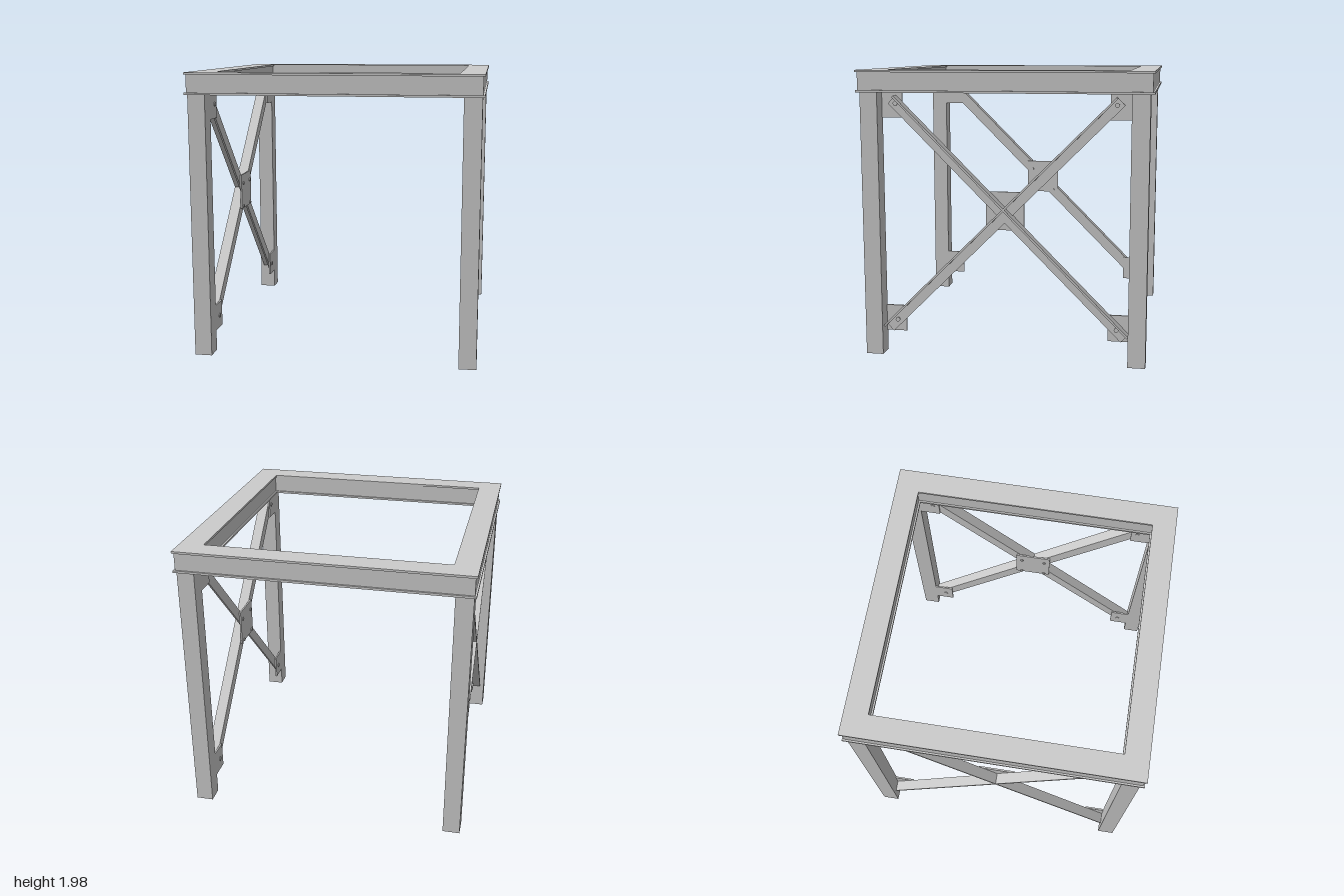
import * as THREE from 'three';

const steel = new THREE.MeshStandardMaterial({ color: 0xcccccc, flatShading: true, side: THREE.DoubleSide });

function addMesh(parent, name, geometry, x = 0, y = 0, z = 0) {
  const mesh = new THREE.Mesh(geometry, steel);
  mesh.name = name;
  mesh.position.set(x, y, z);
  parent.add(mesh);
  return mesh;
}

function square(half, Type = THREE.Shape) {
  const p = new Type();
  p.moveTo(-half, -half);
  p.lineTo(half, -half);
  p.lineTo(half, half);
  p.lineTo(-half, half);
  p.closePath();
  return p;
}

// Upright square tube or ring, standing on y = 0
function squareRing(outer, inner, height) {
  const shape = square(outer);
  shape.holes.push(square(inner, THREE.Path));
  return new THREE.ExtrudeGeometry(shape, { depth: height, bevelEnabled: false }).rotateX(-Math.PI / 2);
}

// Equal-leg angle bar running along z, centred on its length
function angleBar(leg, t, length) {
  const h = leg / 2;
  const shape = new THREE.Shape([
    [0, -h], [t, -h], [t, h - t], [leg, h - t], [leg, h], [0, h],
  ].map(([x, y]) => new THREE.Vector2(x, y)));
  return new THREE.ExtrudeGeometry(shape, { depth: length, bevelEnabled: false }).translate(0, 0, -length / 2);
}

// One cross-braced side, built for +x
function createBracedSide() {
  const side = new THREE.Group();
  side.name = 'bracedSide';
  const plateX = 0.871, plateT = 0.012, barX = 0.877;
  const bolt = new THREE.CylinderGeometry(0.016, 0.016, 0.04, 12).rotateZ(Math.PI / 2);
  const smallBolt = new THREE.CylinderGeometry(0.012, 0.012, 0.02, 12).rotateZ(Math.PI / 2);
  const bar = angleBar(0.078, 0.014, 2.274);

  addMesh(side, 'centrePlate', new THREE.BoxGeometry(plateT, 0.265, 0.265), plateX, 1.027, 0);

  for (const s of [1, -1]) {
    // Diagonal braces
    const brace = addMesh(side, 'diagonalBrace', bar, barX, 0.976, s * 0.024);
    brace.rotation.x = s * Math.PI / 4;

    // Gusset plates beside the posts, with their bolts
    addMesh(side, 'upperGusset', new THREE.BoxGeometry(plateT, 0.177, 0.145), plateX, 1.743, s * 0.783);
    addMesh(side, 'lowerGusset', new THREE.BoxGeometry(plateT, 0.184, 0.145), plateX, 0.237, s * 0.783);
    addMesh(side, 'upperBolt', bolt, 0.88, 1.753, s * 0.755);
    addMesh(side, 'lowerBolt', bolt, 0.88, 0.23, s * 0.77);

    // Bolt heads on the inner face of the centre plate
    for (const v of [1, -1]) {
      addMesh(side, 'centreBolt', smallBolt, 0.867, 1.0 + v * 0.09, s * 0.09);
    }
  }
  return side;
}

export function createModel() {
  const model = new THREE.Group();
  model.name = 'steelFrame';

  // Hollow square posts
  const post = squareRing(0.06, 0.053, 1.83);
  for (const x of [0.925, -0.925]) {
    for (const z of [0.914, -0.914]) addMesh(model, 'post', post, x, 0, z);
  }

  // Top ring beam: flanges above and below a slightly recessed body
  const flange = squareRing(1, 0.835, 0.015);
  addMesh(model, 'bottomFlange', flange, 0, 1.83, 0);
  addMesh(model, 'beamBody', squareRing(0.988, 0.847, 0.12), 0, 1.845, 0);
  addMesh(model, 'topFlange', flange, 0, 1.965, 0);

  // Cross bracing on both sides
  for (const angle of [0, Math.PI]) {
    const side = createBracedSide();
    side.rotation.y = angle;
    model.add(side);
  }
  return model;
}
